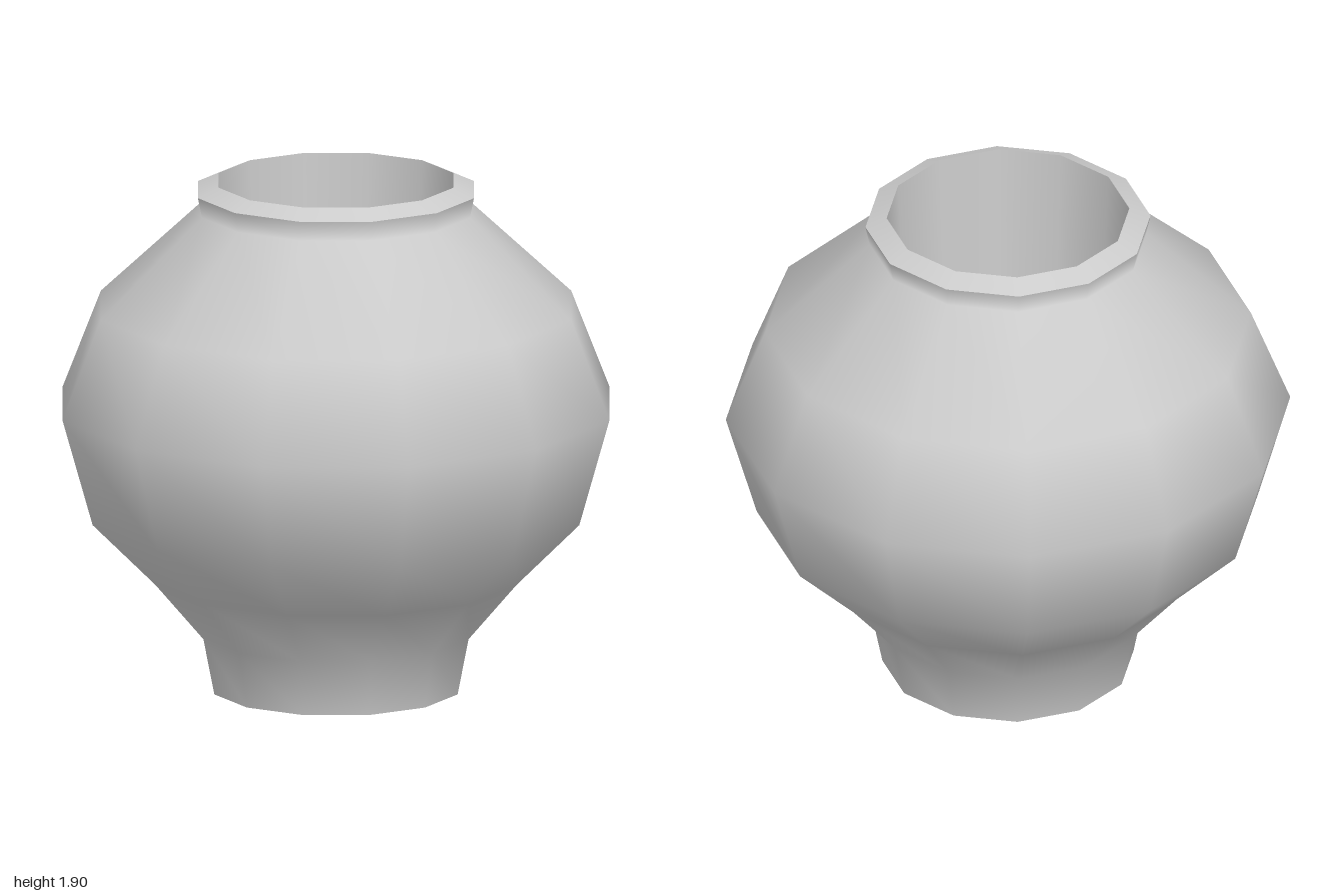
import * as THREE from 'three';

const SIDES = 12;
const TURN = Math.PI / SIDES; // flats face the axes
const FLAT = 1 / Math.cos(TURN); // flat radius to corner radius

export function createModel() {
  const group = new THREE.Group();
  group.name = 'jar';
  const material = new THREE.MeshStandardMaterial({ color: 0xcccccc });

  function add(name, geometry) {
    const mesh = new THREE.Mesh(geometry, material);
    mesh.name = name;
    group.add(mesh);
    return mesh;
  }
  // Smooth twelve-sided band through [flat radius, height] points
  function band(name, profile) {
    const points = profile.map(([r, y]) => new THREE.Vector2(r * FLAT, y));
    return add(name, new THREE.LatheGeometry(points, SIDES, TURN));
  }
  // Flat twelve-sided disc, facing up or down
  function disc(name, r, y, up) {
    const mesh = add(name, new THREE.CircleGeometry(r * FLAT, SIDES, TURN));
    mesh.rotation.x = up ? -Math.PI / 2 : Math.PI / 2;
    mesh.position.y = y;
  }

  // Foot, belly, shoulder and flared neck
  band('body', [
    [0.445, 0], [0.485, 0.21], [0.66, 0.425], [0.89, 0.665],
    [1, 1.065], [0.86, 1.435], [0.49, 1.795], [0.505, 1.87],
  ]);
  // Bevelled lip
  band('rim', [[0.505, 1.87], [0.43, 1.905]]);
  // Tapered hollow
  band('innerWall', [[0.43, 1.905], [0.345, 0.1]]);
  disc('innerFloor', 0.345, 0.1, true);
  disc('base', 0.445, 0, false);

  return group;
}
